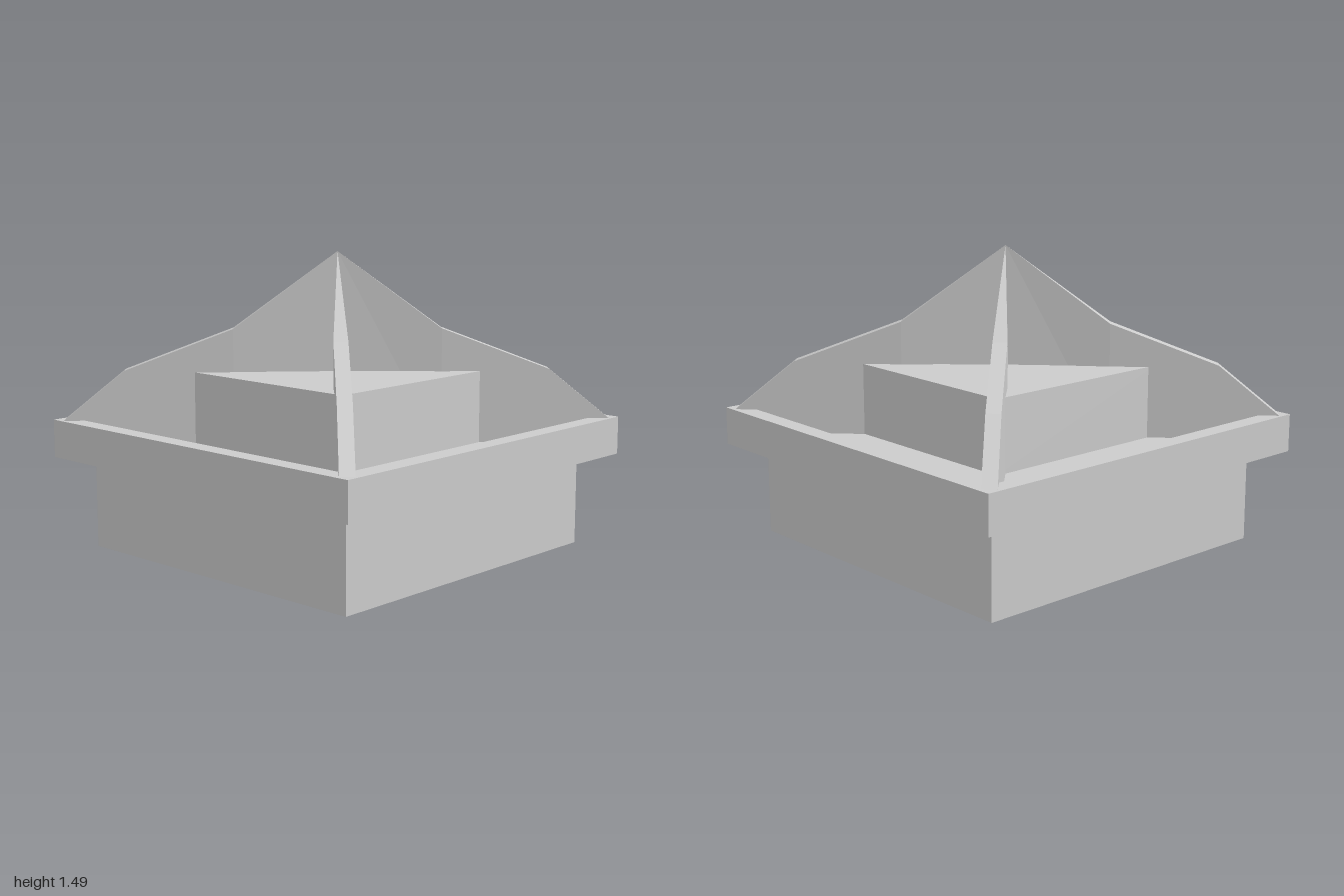
import * as THREE from 'three';

const material = new THREE.MeshStandardMaterial({ color: 0xcccccc, flatShading: true });

function addMesh(parent, name, geometry, y = 0) {
  const mesh = new THREE.Mesh(geometry, material);
  mesh.name = name;
  mesh.position.y = y;
  parent.add(mesh);
  return mesh;
}

function addBlock(parent, name, width, bottom, top) {
  return addMesh(parent, name, new THREE.BoxGeometry(width, top - bottom, width), (bottom + top) / 2);
}

// Square frame with a square opening, standing on y = 0
function frameGeometry(outer, inner, height) {
  const square = (Type, h) => new Type([[-h, -h], [h, -h], [h, h], [-h, h]].map(([x, y]) => new THREE.Vector2(x, y)));
  const shape = square(THREE.Shape, outer);
  shape.holes.push(square(THREE.Path, inner));
  return new THREE.ExtrudeGeometry(shape, { depth: height, bevelEnabled: false }).rotateX(-Math.PI / 2);
}

// Corner fin running along +x from the centre, lofted through rectangular sections
function finGeometry() {
  // distance out, top height, half width at top, half width at bottom
  const sections = [
    [0, 1.485, 0, 0.022],
    [0.365, 1.105, 0.035, 0.035],
    [0.745, 0.9, 0.035, 0.035],
    [0.96, 0.65, 0.035, 0.035],
  ];
  const bottom = 0.5;
  const positions = [];
  const index = [];
  sections.forEach(([d, top, wTop, wBottom], i) => {
    const x = d * Math.SQRT2;
    // corners: bottom +z, top +z, top -z, bottom -z
    positions.push(x, bottom, wBottom, x, top, wTop, x, top, -wTop, x, bottom, -wBottom);
    if (i === 0) return;
    const a = (i - 1) * 4;
    const b = i * 4;
    index.push(a, b, a + 1, b, b + 1, a + 1); // +z side
    index.push(a + 1, b + 1, b + 2, a + 1, b + 2, a + 2); // top
    index.push(a + 3, a + 2, b + 3, b + 3, a + 2, b + 2); // -z side
    index.push(a, a + 3, b + 3, a, b + 3, b); // underside
  });
  index.push(12, 15, 14, 12, 14, 13); // outer end
  const indexed = new THREE.BufferGeometry();
  indexed.setAttribute('position', new THREE.Float32BufferAttribute(positions, 3));
  indexed.setIndex(index);
  const geometry = indexed.toNonIndexed();
  geometry.computeVertexNormals();
  return geometry;
}

export function createModel() {
  const model = new THREE.Group();
  model.name = 'pillarCap';

  // Shaft and overhanging tray with a raised rim
  addBlock(model, 'shaft', 1.71, 0, 0.46);
  addBlock(model, 'trayFloor', 1.82, 0.46, 0.53);
  addMesh(model, 'trayRim', frameGeometry(1, 0.91, 0.19), 0.46);

  // Block in the middle of the tray
  addBlock(model, 'centreBlock', 1.05, 0.53, 0.89);

  // Four diagonal fins meeting at the peak
  const fins = new THREE.Group();
  fins.name = 'fins';
  const fin = finGeometry();
  for (let i = 0; i < 4; i++) {
    addMesh(fins, 'cornerFin', fin).rotation.y = Math.PI / 4 + (i * Math.PI) / 2;
  }
  model.add(fins);
  return model;
}
